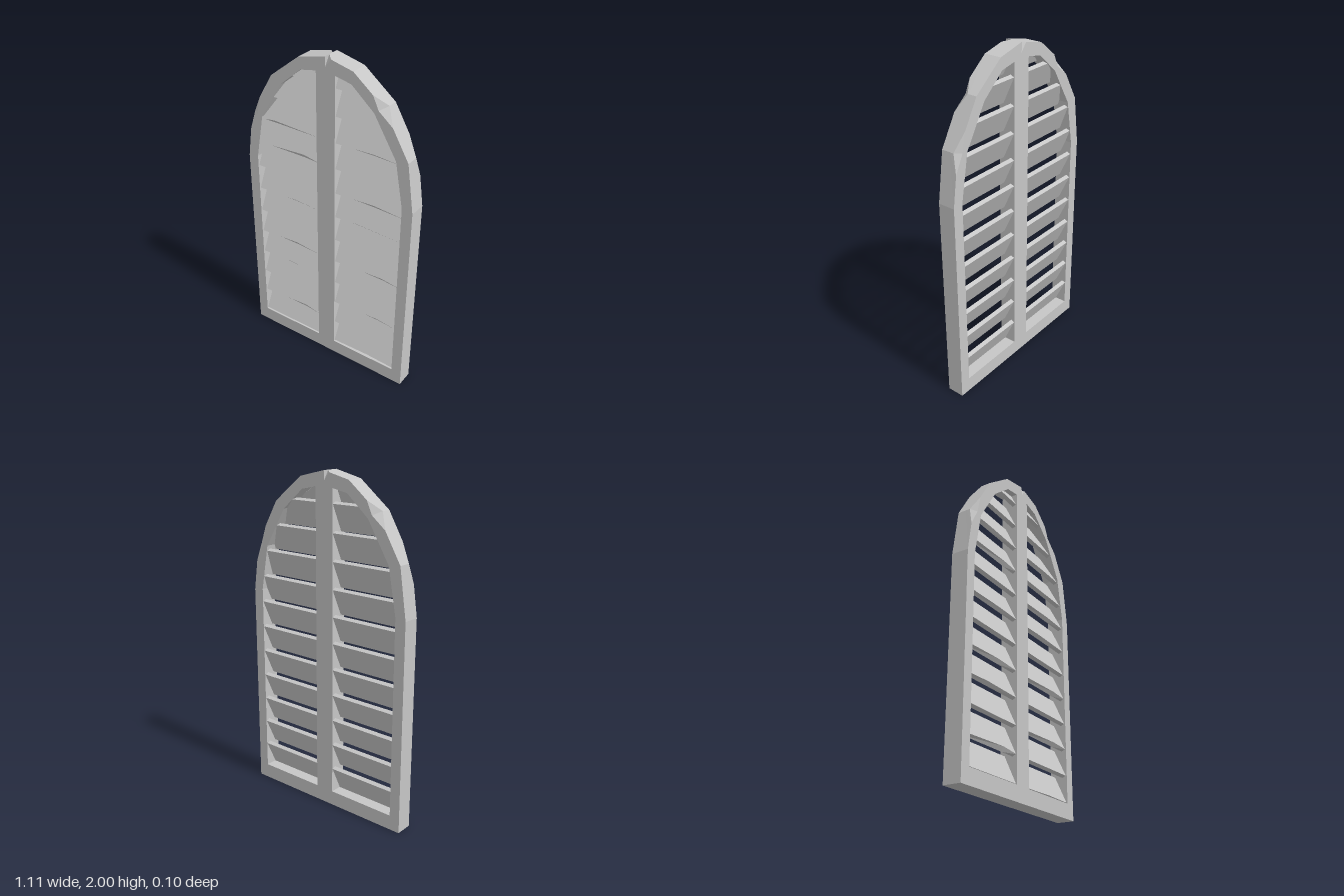
import * as THREE from 'three';

const stone = new THREE.MeshStandardMaterial({ color: 0xc6c6c6 });
stone.name = 'palePaint';

const HALF = 0.052; // half the frame depth

// Flat-shaded geometry from a list of corner triples
function facets(points) {
  const g = new THREE.BufferGeometry().setFromPoints(points);
  g.computeVertexNormals();
  return g;
}
function fan(out, poly) {
  for (let i = 1; i < poly.length - 1; i++) out.push(poly[0], poly[i], poly[i + 1]);
}
function mesh(name, geometry) {
  const m = new THREE.Mesh(geometry, stone);
  m.name = name;
  return m;
}
const at = (p, z) => new THREE.Vector3(p[0], p[1], z);

// Arch outline, counter-clockwise; some corners have a chip knocked out of the front edge
const outline = [
  { p: [-0.555, 0] }, { p: [0.555, 0] }, { p: [0.555, 1.26] }, { p: [0.512, 1.55] },
  { p: [0.36, 1.81], chip: { enter: [0.412, 1.72], mid: [0.325, 1.79], exit: [0.29, 1.865], z: 0.006 } },
  { p: [0.17, 1.96] },
  { p: [0, 2], chip: { enter: [0.036, 1.991], mid: [0, 1.945], exit: [0, 2], z: 0.015 } },
  { p: [-0.17, 1.96] }, { p: [-0.36, 1.81] },
  { p: [-0.512, 1.55], chip: { enter: [-0.45, 1.656], mid: [-0.475, 1.545], exit: [-0.529, 1.44], z: 0.025 } },
  { p: [-0.555, 1.26] },
];

// Outer side of each opening, from the sill up
const inner = [[0.49, 0.09], [0.49, 1.27], [0.44, 1.54], [0.3, 1.77], [0.16, 1.89], [0.06, 1.91]];

// Front half of the frame; the back half is the same piece turned round
function frameHalf() {
  const tris = [];
  const front = [];
  outline.forEach((c, i) => {
    const n = outline[(i + 1) % outline.length];
    // outer wall of this side, cut back at chipped corners
    const wall = [at(c.p, 0), at(n.p, 0)];
    if (n.chip) wall.push(at(n.p, n.chip.z), at(n.chip.enter, HALF));
    else wall.push(at(n.p, HALF));
    if (c.chip) wall.push(at(c.chip.exit, HALF), at(c.p, c.chip.z));
    else wall.push(at(c.p, HALF));
    fan(tris, wall);
    // broken faces of the chip
    if (c.chip) {
      const { enter, mid, exit, z } = c.chip;
      tris.push(at(enter, HALF), at(c.p, z), at(mid, HALF));
      tris.push(at(mid, HALF), at(c.p, z), at(exit, HALF));
      front.push(enter, mid, exit);
    } else front.push(c.p);
  });

  // two openings, clockwise
  const right = [[0.06, 0.09], ...inner].reverse();
  const left = right.map(([x, y]) => [-x, y]).reverse();
  const shape = new THREE.Shape(front.map((p) => new THREE.Vector2(...p)));
  for (const hole of [right, left]) {
    shape.holes.push(new THREE.Path(hole.map((p) => new THREE.Vector2(...p))));
    hole.forEach((p, i) => {
      const q = hole[(i + 1) % hole.length];
      fan(tris, [at(p, 0), at(q, 0), at(q, HALF), at(p, HALF)]);
    });
  }

  // flat front face
  const face = new THREE.ShapeGeometry(shape).toNonIndexed().getAttribute('position');
  for (let i = 0; i < face.count; i++) {
    tris.push(new THREE.Vector3(face.getX(i), face.getY(i), HALF));
  }
  return facets(tris);
}

// Half-width of the opening at height y
function openingEdge(y) {
  for (let i = 0; i < inner.length - 1; i++) {
    const [x0, y0] = inner[i], [x1, y1] = inner[i + 1];
    if (y <= y1) return x0 + (x1 - x0) * Math.max(0, (y - y0) / (y1 - y0));
  }
  return 0.06;
}

// One tilted slat, its ends let into the frame; chip = [peak x, height] on the lower front edge
function slat(side, y0, chip) {
  const tilt = 0.43, thick = 0.025;
  const s = Math.sin(tilt), c = Math.cos(tilt);
  const y1 = y0 + thick * s, zf = 0.045;
  const length = Math.min(0.172, (1.925 - y1) / c);
  const section = (xOf, rise) => {
    const corner = (along, back) => {
      const y = y1 + along * c - back * s;
      return new THREE.Vector3(side * xOf(y), y, zf - along * s - back * c);
    };
    return [corner(rise, 0), corner(length, 0), corner(length, thick), corner(0, thick)];
  };
  const cols = [section(() => 0.05, 0)];
  if (chip) cols.push(section(() => chip[0], chip[1]));
  cols.push(section((y) => openingEdge(y) + 0.025, 0));
  if (side < 0) cols.reverse();

  const tris = [];
  for (let i = 0; i < cols.length - 1; i++) {
    const a = cols[i], b = cols[i + 1];
    for (let k = 0; k < 4; k++) {
      const m = (k + 1) % 4;
      fan(tris, [a[k], b[k], b[m], a[m]]);
    }
  }
  fan(tris, cols[0]);
  fan(tris, [...cols[cols.length - 1]].reverse());
  return facets(tris);
}

// Worn slats by row: [distance from the centre bar, height of the wear]
const wornLeft = {
  0: [0.3, 0.006], 2: [0.36, 0.014], 4: [0.38, 0.014], 6: [0.2, 0.008], 7: [0.31, 0.012], 9: [0.3, 0.008],
};
const wornRight = {
  1: [0.17, 0.018], 3: [0.32, 0.01], 4: [0.23, 0.015], 6: [0.22, 0.009], 8: [0.16, 0.016], 9: [0.36, 0.012],
};

export function createModel() {
  const model = new THREE.Group();
  model.name = 'archedShutter';

  const frame = new THREE.Group();
  frame.name = 'frame';
  const half = frameHalf();
  const back = mesh('frameBack', half);
  back.rotation.y = Math.PI;
  frame.add(mesh('frameFront', half), back);
  model.add(frame);

  for (const [name, side, worn] of [['leftSlats', 1, wornLeft], ['rightSlats', -1, wornRight]]) {
    const slats = new THREE.Group();
    slats.name = name;
    for (let row = 0; row < 12; row++) {
      slats.add(mesh('slat', slat(side, 0.085 + row * 0.1585, worn[row])));
    }
    model.add(slats);
  }
  return model;
}
